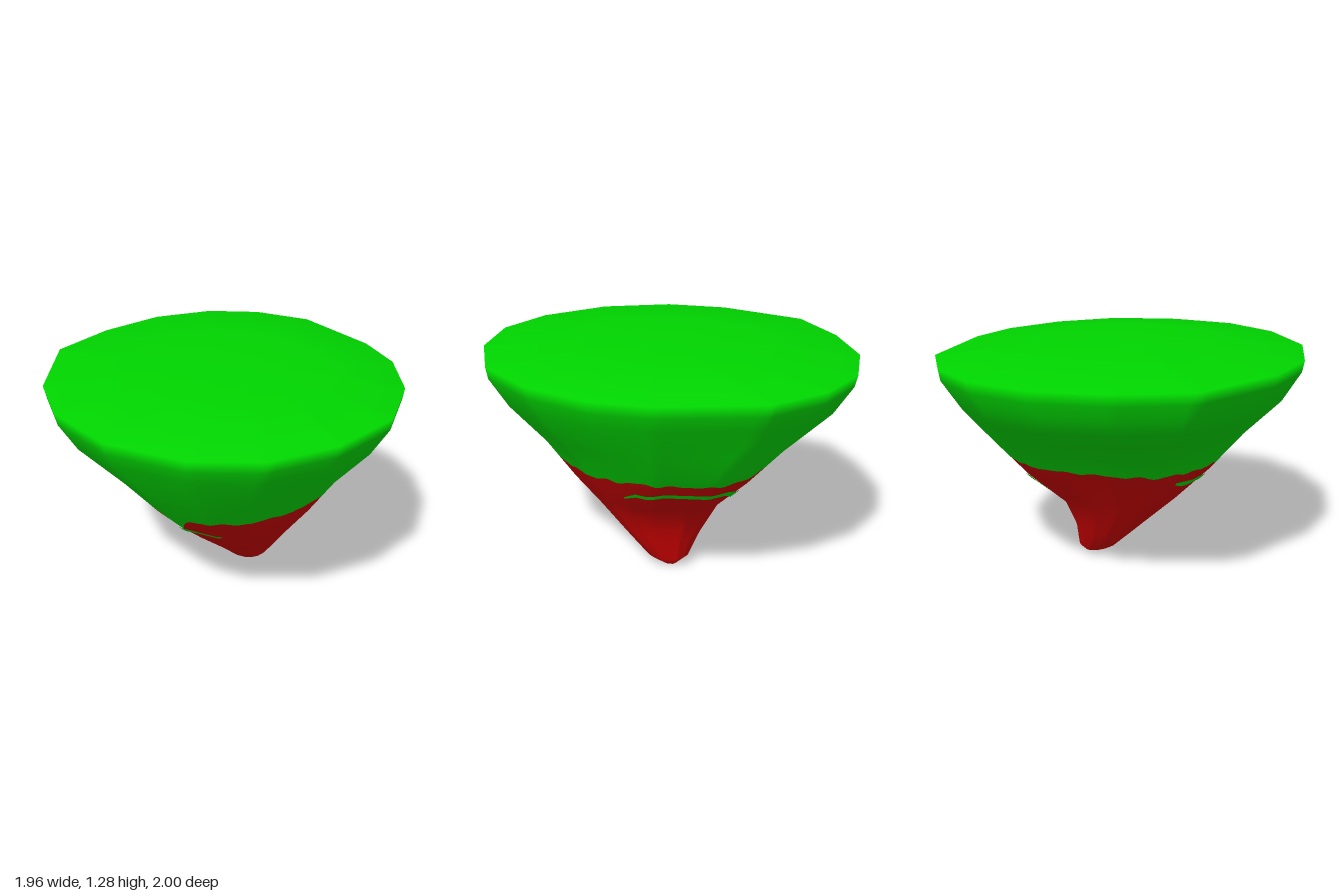
import * as THREE from 'three';
import { mergeVertices } from 'three/addons/utils/BufferGeometryUtils.js';

// Rim outline (x, z), running from the front towards +x
const RIM = [
  [-0.07, 1], [0.35, 0.97], [0.66, 0.81], [0.88, 0.51], [0.99, 0.13], [0.92, -0.25],
  [0.74, -0.57], [0.51, -0.77], [0.03, -1], [-0.31, -0.98], [-0.59, -0.85], [-0.82, -0.59],
  [-0.95, -0.23], [-0.99, 0.16], [-0.73, 0.62], [-0.46, 0.86],
];

// Cross-sections from the domed top to the tip: y, xMin, xMax, zMin, zMax
const RINGS = [
  [1.285, 0.04, 0.04, 0, 0], [1.26, -0.52, 0.6, -0.55, 0.55], [1.222, -0.99, 0.99, -1, 1],
  [1.16, -0.975, 0.98, -0.99, 0.99], [1.0, -0.885, 0.885, -0.89, 0.89],
  [0.78, -0.59, 0.7, -0.73, 0.725], [0.56, -0.42, 0.555, -0.545, 0.54],
  [0.37, -0.285, 0.415, -0.34, 0.33], [0.18, -0.14, 0.285, -0.26, 0.11],
  [0.06, -0.04, 0.2, -0.245, -0.02], [0.012, 0.05, 0.13, -0.205, -0.1],
  [0, 0.09, 0.09, -0.16, -0.16],
];

// Height of the colour border by angle in degrees (0 = front, 90 = +x)
const BORDER = [
  [-180, 0.67], [-120, 0.68], [-90, 0.645], [-62, 0.62], [-35, 0.61], [-18, 0.575],
  [-14, 0.545], [-3, 0.545], [0, 0.58], [8, 0.66], [20, 0.68], [50, 0.7], [90, 0.665],
  [110, 0.66], [135, 0.69], [180, 0.67],
];

const lerp = THREE.MathUtils.lerp;
const TAU = Math.PI * 2;

// Point of the rim polygon in a given direction
function rimPoint(angle) {
  const dx = Math.sin(angle), dz = Math.cos(angle);
  for (let i = 0; i < RIM.length; i++) {
    const [ax, az] = RIM[i], [bx, bz] = RIM[(i + 1) % RIM.length];
    const ca = ax * dz - az * dx, cb = bx * dz - bz * dx;
    const t = ca / (ca - cb);
    if (ca <= 1e-9 && cb > 1e-9 && lerp(ax, bx, t) * dx + lerp(az, bz, t) * dz > 0) {
      return [lerp(ax, bx, t), lerp(az, bz, t)];
    }
  }
  return [dx, dz];
}

// Point on the body at an angle and height
function surface(angle, y) {
  let i = 0;
  while (i < RINGS.length - 2 && y < RINGS[i + 1][0]) i++;
  const a = RINGS[i], b = RINGS[i + 1];
  const t = (a[0] - y) / (a[0] - b[0]);
  const [, x0, x1, z0, z1] = a.map((v, k) => lerp(v, b[k], t));
  const [ux, uz] = rimPoint(angle);
  return [(x0 + x1) / 2 + (ux * (x1 - x0)) / 2, y, (z0 + z1) / 2 + (uz * (z1 - z0)) / 2];
}

function borderHeight(angle) {
  let d = THREE.MathUtils.radToDeg(angle);
  d = ((((d + 180) % 360) + 360) % 360) - 180;
  let i = 0;
  while (i < BORDER.length - 2 && d > BORDER[i + 1][0]) i++;
  const [d0, y0] = BORDER[i], [d1, y1] = BORDER[i + 1];
  return lerp(y0, y1, (d - d0) / (d1 - d0)) + 0.006 * Math.sin(angle * 19) + 0.004 * Math.sin(angle * 31);
}

// Body skin: columns around, rows from the top centre down to the tip
function bodyGeometry() {
  const SUB = 10;
  const angles = [];
  RIM.forEach(([x, z], i) => {
    const [nx, nz] = RIM[(i + 1) % RIM.length];
    const a = Math.atan2(x, z);
    let b = Math.atan2(nx, nz);
    if (b < a) b += TAU;
    for (let s = 0; s < SUB; s++) angles.push(lerp(a, b, s / SUB));
  });
  const upper = [1.285, 1.26, 1.222, 1.16, 1.08, 1, 0.89, 0.78];
  const lower = [0.45, 0.37, 0.275, 0.18, 0.06, 0.012, 0];
  const n = angles.length, pos = [], index = [];
  const addRow = (height) => angles.forEach((a) => pos.push(...surface(a, height(a))));
  upper.forEach((y) => addRow(() => y));
  addRow(borderHeight);
  addRow((a) => Math.min(0.56, borderHeight(a) - 0.02));
  lower.forEach((y) => addRow(() => y));
  const rows = upper.length + 2 + lower.length;
  for (let r = 0; r < rows - 1; r++) {
    for (let c = 0; c < n; c++) {
      const a = r * n + c, d = r * n + ((c + 1) % n);
      index.push(a, a + n, d, d, a + n, d + n);
    }
  }
  let geo = new THREE.BufferGeometry();
  geo.setAttribute('position', new THREE.Float32BufferAttribute(pos, 3));
  geo.setIndex(index);
  geo = mergeVertices(geo, 1e-5);
  const split = upper.length * n * 6;
  geo.addGroup(0, split, 0);
  geo.addGroup(split, index.length - split, 1);
  geo.computeVertexNormals();
  return geo;
}

// Thin painted band lying just off the surface; path points: degrees, y, half width
function bandGeometry(path) {
  const pos = [], index = [], STEPS = 8;
  const rows = [];
  for (let i = 0; i < path.length - 1; i++) {
    for (let s = i ? 1 : 0; s <= STEPS; s++) rows.push(path[i].map((v, k) => lerp(v, path[i + 1][k], s / STEPS)));
  }
  rows.forEach(([deg, y, half], i) => {
    const a = THREE.MathUtils.degToRad(deg);
    for (const h of [y + half, y, y - half]) {
      const p = surface(a, h);
      pos.push(p[0] + 0.006 * Math.sin(a), p[1] - 0.004, p[2] + 0.006 * Math.cos(a));
    }
    if (i) {
      for (const k of [0, 1]) {
        const l = (i - 1) * 3 + k, r = i * 3 + k;
        index.push(l, l + 1, r, r, l + 1, r + 1);
      }
    }
  });
  const geo = new THREE.BufferGeometry();
  geo.setAttribute('position', new THREE.Float32BufferAttribute(pos, 3));
  geo.setIndex(index);
  geo.computeVertexNormals();
  return geo;
}

export function createModel() {
  const green = new THREE.MeshStandardMaterial({ color: 0x00d400 });
  green.name = 'grass green';
  const red = new THREE.MeshStandardMaterial({ color: 0xc80000 });
  red.name = 'earth red';

  const group = new THREE.Group();
  group.name = 'floatingIsland';
  const add = (name, geo, mat) => {
    const mesh = new THREE.Mesh(geo, mat);
    mesh.name = name;
    group.add(mesh);
  };

  add('islandBody', bodyGeometry(), [green, red]);
  // Green streaks on the red earth
  add('frontStreak', bandGeometry([
    [-64, 0.555, 0.008], [-56, 0.54, 0.018], [-40, 0.535, 0.016], [-25, 0.51, 0.02],
    [-14, 0.53, 0.028], [-3, 0.535, 0.028], [8, 0.54, 0.017], [20, 0.54, 0.015], [23, 0.535, 0.006],
  ]), green);
  add('backStreak', bandGeometry([
    [127, 0.565, 0.006], [135, 0.595, 0.013], [142, 0.585, 0.013], [152, 0.61, 0.013],
    [170, 0.6, 0.014], [190, 0.59, 0.016], [202, 0.55, 0.025], [207, 0.5, 0.02],
  ]), green);
  return group;
}
